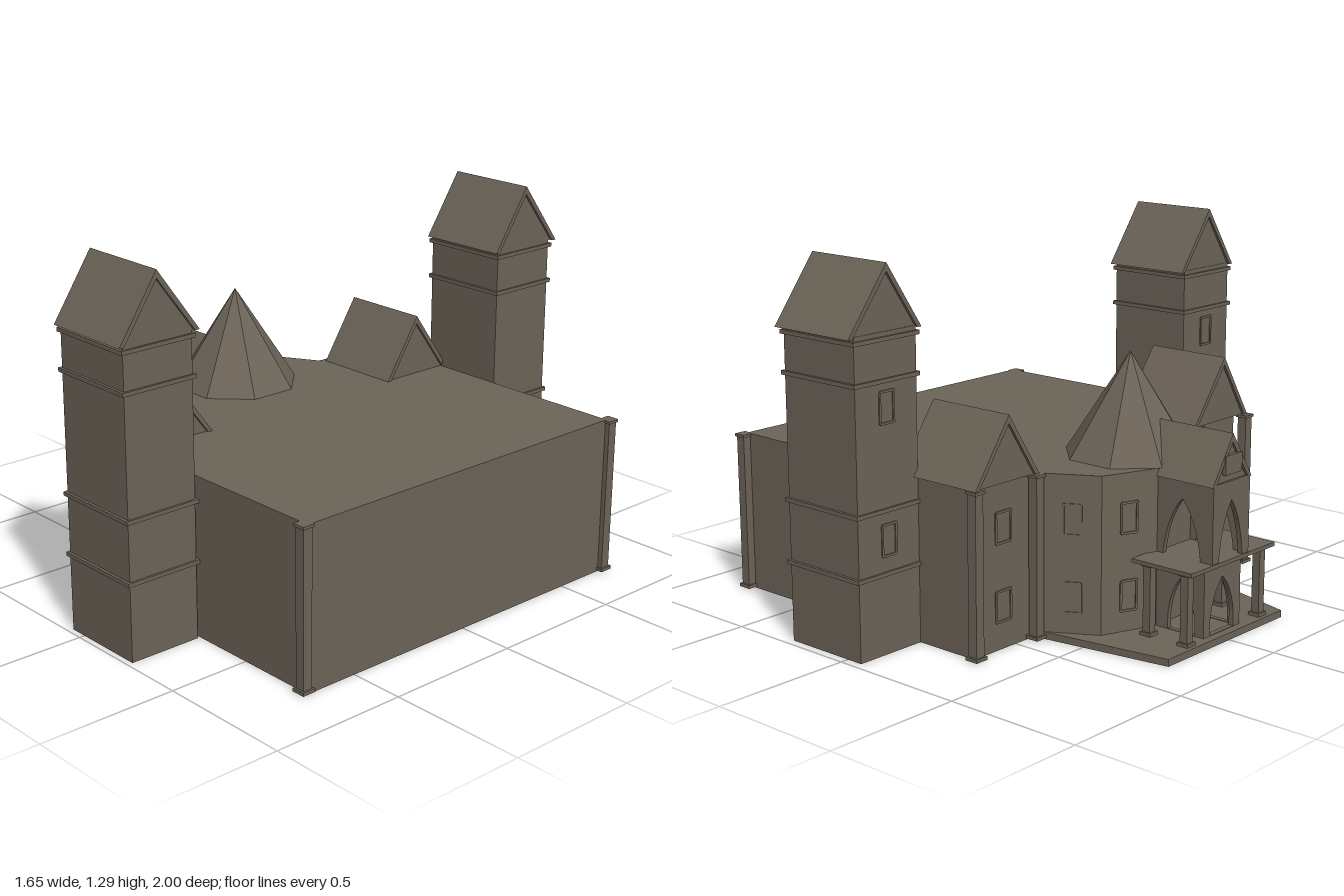
import * as THREE from 'three';

const stone = new THREE.MeshStandardMaterial({ color: 0x6c6458 });
stone.name = 'stone';

export function createModel() {
  const model = new THREE.Group();
  model.name = 'church';

  const add = (name, geo, parent = model) => {
    const mesh = new THREE.Mesh(geo, stone);
    mesh.name = name;
    parent.add(mesh);
    return mesh;
  };
  // Box given by its extents on each axis
  const box = (name, [x0, x1], [y0, y1], [z0, z1], parent) => {
    const geo = new THREE.BoxGeometry(x1 - x0, y1 - y0, z1 - z0);
    geo.translate((x0 + x1) / 2, (y0 + y1) / 2, (z0 + z1) / 2);
    return add(name, geo, parent);
  };
  const polygon = pts => new THREE.Shape(pts.map(p => new THREE.Vector2(...p)));
  const extrude = (shape, depth) =>
    new THREE.ExtrudeGeometry(shape, { depth, bevelEnabled: false, curveSegments: 8 });
  // Floor plan in (x, z) raised from y = 0
  const prism = (name, pts, h) =>
    add(name, extrude(polygon(pts), h).rotateX(Math.PI / 2).translate(0, h, 0));
  // Profile in (-z, y) swept along x
  const sweepX = (name, shape, x0, x1, parent) =>
    add(name, extrude(shape, x1 - x0).rotateY(Math.PI / 2).translate(x0, 0, 0), parent);

  // Gabled roof: overhanging slopes around a recessed solid gable
  function gableRoof(name, [x0, x1], [z0, z1], ridgeZ, y0, y1, parent) {
    const t = 0.018;
    sweepX(name + 'Slopes', polygon([
      [-z1, y0], [-z1 + t, y0], [-ridgeZ, y1 - t * 1.6], [-z0 - t, y0], [-z0, y0], [-ridgeZ, y1],
    ]), x0, x1, parent);
    sweepX(name + 'Gable', polygon([
      [-z1 + t / 2, y0], [-z0 - t / 2, y0], [-ridgeZ, y1 - t],
    ]), x0 + 0.01, x1 - 0.01, parent);
  }

  // Thin framed window centred on (x, z), its outward normal turned from +z by angle
  function windowFrame(x, y, z, angle, w = 0.035, h = 0.105) {
    const g = new THREE.Group();
    g.name = 'window';
    const e = 0.004;
    for (const s of [-1, 1]) {
      box('windowJamb', [s * w / 2 - e, s * w / 2 + e], [-h / 2, h / 2], [-0.002, 0.004], g);
      box('windowRail', [-w / 2, w / 2], [s * h / 2 - e, s * h / 2 + e], [-0.002, 0.004], g);
    }
    g.position.set(x, y, z);
    g.rotation.y = angle;
    model.add(g);
  }

  // Slender pier with a foot and a cap
  function pier(x, z, y0, y1, w) {
    const g = new THREE.Group();
    g.name = 'pier';
    const span = (c, s) => [c - s / 2, c + s / 2];
    box('pierShaft', span(x, w), [y0, y1], span(z, w), g);
    box('pierFoot', span(x, w + 0.014), [y0, y0 + 0.012], span(z, w + 0.014), g);
    box('pierCap', span(x, w + 0.01), [y1 - 0.01, y1], span(z, w + 0.01), g);
    model.add(g);
  }

  // Hall with transepts and faceted apse
  const H = 0.575;
  const apse = [[-0.35, 0.42], [-0.525, 0.295], [-0.59, 0.1], [-0.59, -0.11], [-0.515, -0.305], [-0.345, -0.405]];
  prism('hall', [
    [0.8, -0.7], [0.8, 0.7], [-0.31, 0.7], [-0.31, 0.42], ...apse, [-0.31, -0.405], [-0.31, -0.7],
  ], H);
  prism('porchFloor', [[-0.35, 0.425], [-0.82, 0.3], [-0.82, -0.33], [-0.34, -0.405]], 0.025);

  // Apse windows, two rows
  for (let i = 0; i < apse.length - 1; i++) {
    if (i === 2) continue;
    const [a, b] = [apse[i], apse[i + 1]];
    const dx = b[0] - a[0], dz = b[1] - a[1];
    for (const y of [0.15, 0.42])
      windowFrame((a[0] + b[0]) / 2, y, (a[1] + b[1]) / 2, Math.atan2(dz, -dx), 0.06);
  }

  // Spire over the apse
  const spire = new THREE.ConeGeometry(0.228, 0.355, 8, 1).toNonIndexed();
  spire.computeVertexNormals();
  spire.rotateY(Math.PI / 8).translate(-0.39, H + 0.1775, -0.01);
  add('spire', spire);

  // Transept roofs and windows
  gableRoof('frontTranseptRoof', [-0.36, -0.03], [0.395, 0.715], 0.57, H, 0.81);
  gableRoof('backTranseptRoof', [-0.34, 0], [-0.72, -0.415], -0.56, H, 0.8);
  for (const z of [0.57, -0.56])
    for (const y of [0.15, 0.42]) windowFrame(-0.31, y, z, -Math.PI / 2, 0.07);

  // Corner piers
  for (const [x, z] of [
    [0.785, 0.702], [0.8, -0.712], [-0.36, 0.702], [-0.095, 0.718],
    [-0.325, -0.705], [-0.34, 0.43], [-0.335, -0.425],
  ]) pier(x, z, 0.005, H, 0.036);

  // Twin towers with string courses
  for (const [name, z0, z1, roof, ridge] of [
    ['frontTower', 0.71, 0.98, [0.685, 1], 0.85],
    ['backTower', -0.97, -0.7, [-1, -0.68], -0.83],
  ]) {
    const g = new THREE.Group();
    g.name = name;
    model.add(g);
    box('towerShaft', [-0.063, 0.265], [0, 1.075], [z0, z1], g);
    for (const y of [0.277, 0.491, 0.918, 1.053])
      box('towerBand', [-0.071, 0.273], [y - 0.007, y + 0.007], [z0 - 0.01, z1 + 0.01], g);
    gableRoof('towerRoof', [-0.07, 0.275], roof, ridge, 1.07, 1.295, g);
    for (const y of [0.39, 0.83]) windowFrame(-0.063, y, (z0 + z1) / 2, -Math.PI / 2, 0.06);
  }

  // Pointed arch opening cut through a wall panel
  function archWall(u0, u1, y0, y1, a0, a1, spring, apex) {
    const shape = polygon([[u0, y0], [u1, y0], [u1, y1], [u0, y1]]);
    const m = (a0 + a1) / 2, rise = apex - spring;
    const hole = new THREE.Path();
    hole.moveTo(a0, y0 + 0.002);
    hole.lineTo(a0, spring);
    hole.quadraticCurveTo(a0 + (m - a0) * 0.2, spring + rise * 0.65, m, apex);
    hole.quadraticCurveTo(a1 - (a1 - m) * 0.2, spring + rise * 0.65, a1, spring);
    hole.lineTo(a1, y0 + 0.002);
    hole.closePath();
    shape.holes.push(hole);
    return shape;
  }

  // Two-storey open porch
  const porch = new THREE.Group();
  porch.name = 'porch';
  model.add(porch);
  const T = 0.018;
  for (const [y0, y1, a0, a1, spring, apex, x0] of [
    [0.025, 0.275, -0.752, -0.64, 0.08, 0.22, -0.79],
    [0.285, 0.555, -0.77, -0.615, 0.29, 0.49, -0.82],
  ]) {
    const side = archWall(x0, -0.58, y0, y1, a0, a1, spring, apex);
    for (const z of [-0.105, 0.095 - T])
      add('porchSideArch', extrude(side, T).translate(0, 0, z), porch);
    const end = archWall(-0.095, 0.105, y0, y1, -0.06, 0.07, spring, apex);
    sweepX('porchEndArch', end, x0, x0 + T, porch);
  }
  box('balcony', [-0.825, -0.575], [0.273, 0.287], [-0.222, 0.242], porch);
  gableRoof('porchRoof', [-0.822, -0.5], [-0.113, 0.1], -0.007, 0.55, 0.715, porch);
  box('gablePlaque', [-0.826, -0.81], [0.58, 0.645], [-0.05, 0.04], porch);

  // Posts carrying the balcony
  for (const x of [-0.783, -0.627])
    for (const z of [-0.19, 0.21]) pier(x, z, 0.025, 0.275, 0.03);

  return model;
}
